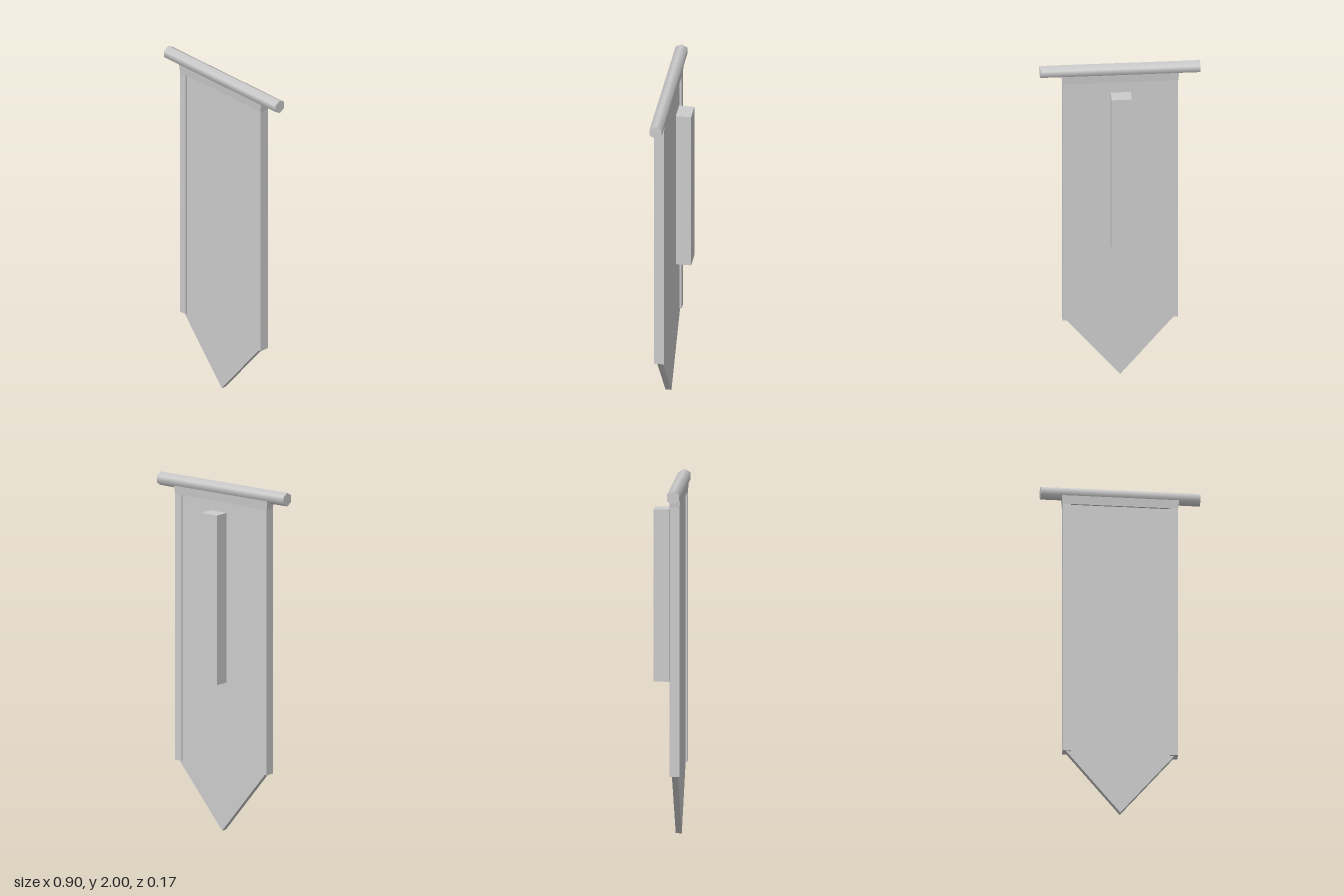
import * as THREE from 'three';

const CLOTH_Z = 0.051; // centre plane of the hanging cloth

export function createModel() {
  const group = new THREE.Group();
  const grey = new THREE.MeshStandardMaterial({ color: 0xcccccc });
  grey.name = 'light grey';

  const add = (name, geometry, x, y, z) => {
    const mesh = new THREE.Mesh(geometry, grey);
    mesh.name = name;
    mesh.position.set(x, y, z);
    group.add(mesh);
    return mesh;
  };

  // Six-sided hanging rod, corners pointing up and down
  const rod = new THREE.CylinderGeometry(0.039, 0.039, 0.9, 6);
  rod.rotateY(Math.PI / 6).rotateZ(Math.PI / 2);
  add('rod', rod, 0, 1.961, CLOTH_Z);

  // Top hem, flaring slightly up to wrap the rod
  const hem = new THREE.BoxGeometry(0.65, 0.06, 0.056);
  const p = hem.attributes.position;
  for (let i = 0; i < p.count; i++) {
    if (p.getY(i) > 0) p.setXYZ(i, p.getX(i) * 1.02, p.getY(i), p.getZ(i) * 1.18);
  }
  hem.computeVertexNormals();
  add('topHem', hem, 0, 1.92, CLOTH_Z);

  // Cloth panel with a pointed lower end
  const outline = new THREE.Shape();
  outline.moveTo(0, 0);
  outline.lineTo(0.305, 0.365);
  outline.lineTo(0.305, 1.91);
  outline.lineTo(-0.305, 1.91);
  outline.lineTo(-0.305, 0.365);
  outline.closePath();
  const cloth = new THREE.ExtrudeGeometry(outline, { depth: 0.034, bevelEnabled: false });
  add('clothPanel', cloth, 0, 0, CLOTH_Z - 0.017);

  // Thicker hems down both sides
  for (const [name, side] of [['leftHem', 1], ['rightHem', -1]]) {
    add(name, new THREE.BoxGeometry(0.045, 1.525, 0.056), side * 0.3025, 1.1275, CLOTH_Z);
  }

  // Square post behind the cloth
  add('backPost', new THREE.BoxGeometry(0.114, 0.975, 0.087), 0, 1.3525, -0.0435);

  return group;
}
